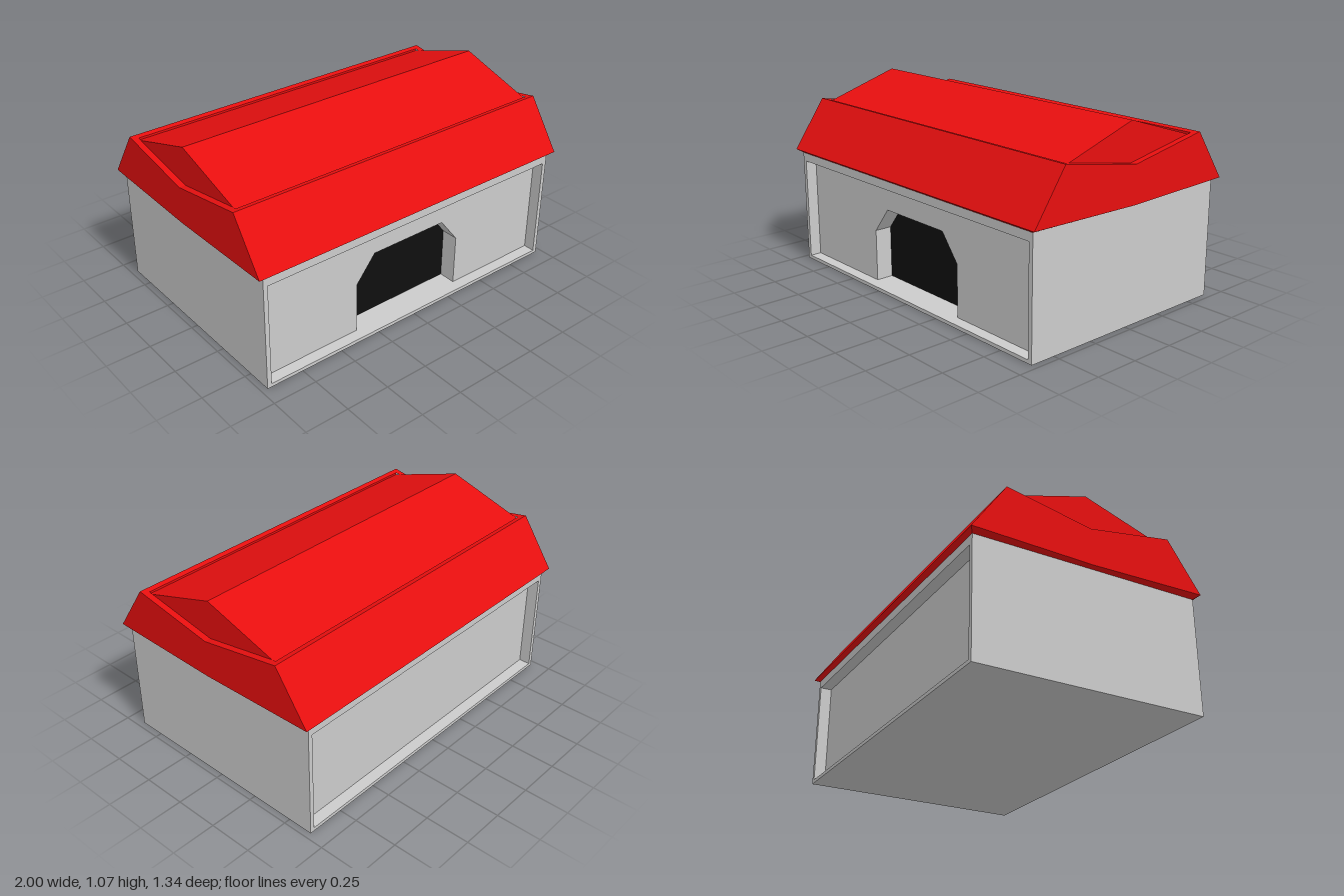
import * as THREE from 'three';

const W = 0.965, D = 0.645, WALL_H = 0.648; // half width, half depth, height of the walls
const RECESS = 0.065, DOOR_DEPTH = 0.1;

const grey = new THREE.MeshStandardMaterial({ color: 0xcccccc });
const red = new THREE.MeshStandardMaterial({ color: 0xe80f0f, flatShading: true });
const black = new THREE.MeshStandardMaterial({ color: 0x0f0f0f });

const toPoints = (list) => list.map(([x, y]) => new THREE.Vector2(x, y));
const wallOutline = () => toPoints([[-W, 0], [W, 0], [W, WALL_H], [-W, WALL_H]]);
const panelOutline = () => toPoints([[-0.94, 0.02], [0.94, 0.02], [0.94, 0.6], [-0.94, 0.6]]);
const doorOutline = () => toPoints([
  [-0.35, 0.02], [0.35, 0.02], [0.35, 0.31], [0.235, 0.455], [-0.235, 0.455], [-0.35, 0.31],
]);

function add(group, name, geometry, material, z = 0) {
  const mesh = new THREE.Mesh(geometry, material);
  mesh.name = name;
  mesh.position.z = z;
  group.add(mesh);
  return mesh;
}

// Wall slab with one opening, running from z = 0 to its depth
function slab(opening, depth) {
  const shape = new THREE.Shape(wallOutline());
  shape.holes.push(new THREE.Path(opening));
  return new THREE.ExtrudeGeometry(shape, { depth, bevelEnabled: false });
}

// Roof from one quarter of its faces, mirrored in x and z
function roofGeometry() {
  const positions = [];
  const quarter = (...corners) => {
    for (const sx of [1, -1]) for (const sz of [1, -1]) {
      const c = corners.map(([x, y, z]) => [x * sx, y, z * sz]);
      if (sx * sz < 0) c.reverse();
      for (let i = 1; i < c.length - 1; i++) positions.push(...c[0], ...c[i], ...c[i + 1]);
    }
  };
  // Half profile from the wall top, round the eave and rim, up to the ridge
  const profile = [
    [W, WALL_H, D], [1, 0.665, 0.67], [1, 0.94, 0.48],
    [W, 0.934, 0.45], [W, 0.922, 0.45], [W, 1.065, 0],
  ];
  for (let i = 0; i < profile.length - 1; i++) {
    const a = profile[i], b = profile[i + 1];
    quarter([0, a[1], a[2]], a, b, [0, b[1], b[2]]);
  }
  const [wallTop, eave, rimOuter, rimInner, base, ridge] = profile;
  const lowMid = [1, 0.65, 0], rimMid = [1, 0.855, 0], innerMid = [W, 0.855, 0];
  quarter(eave, lowMid, rimMid, rimOuter);               // outer end face
  quarter(rimOuter, rimMid, innerMid, rimInner);         // sloping end rim
  quarter(base, innerMid, ridge);                        // gable triangle
  quarter(wallTop, [W, WALL_H, 0], lowMid, eave);        // soffit at the ends
  const geometry = new THREE.BufferGeometry();
  geometry.setAttribute('position', new THREE.Float32BufferAttribute(positions, 3));
  geometry.computeVertexNormals();
  return geometry;
}

export function createModel() {
  const model = new THREE.Group();
  model.name = 'barn';

  // Walls: solid core, front panel with the doorway, raised frames front and back
  const walls = new THREE.Group();
  walls.name = 'walls';
  model.add(walls);
  const panelZ = D - RECESS, doorZ = panelZ - DOOR_DEPTH;
  const core = new THREE.BoxGeometry(W * 2, WALL_H, doorZ + panelZ);
  core.translate(0, WALL_H / 2, 0);
  add(walls, 'wallCore', core, grey, (doorZ - panelZ) / 2);
  add(walls, 'frontPanel', slab(doorOutline(), DOOR_DEPTH), grey, doorZ);
  add(walls, 'frontFrame', slab(panelOutline(), RECESS), grey, panelZ);
  add(walls, 'backFrame', slab(panelOutline(), RECESS), grey, -D);

  // Dark door at the back of the doorway
  add(model, 'door', new THREE.ShapeGeometry(new THREE.Shape(doorOutline())), black, doorZ + 0.002);

  add(model, 'roof', roofGeometry(), red);
  return model;
}
